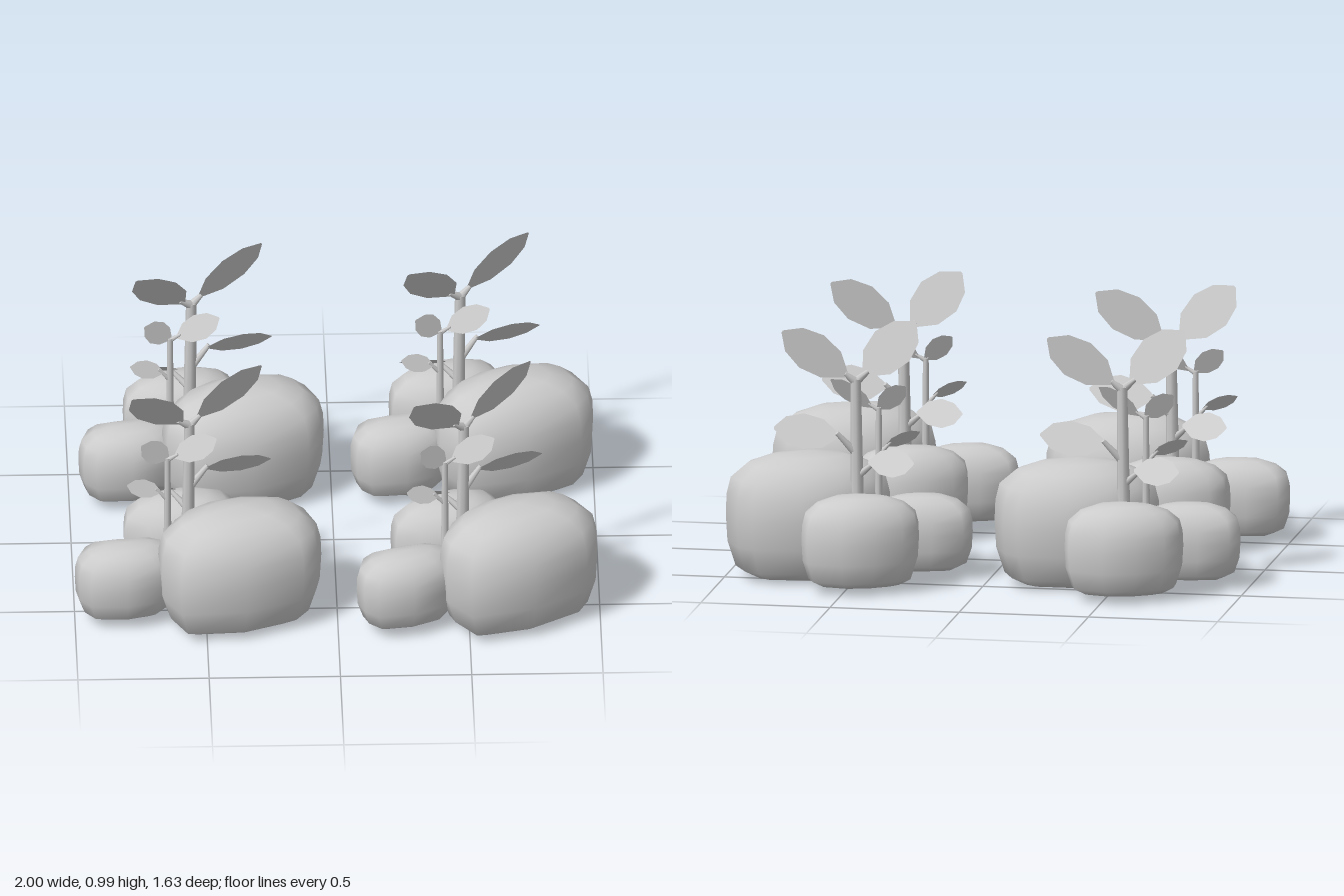
import * as THREE from 'three';

const material = new THREE.MeshStandardMaterial({ color: 0xcccccc });
const leafMaterial = new THREE.MeshStandardMaterial({ color: 0xcccccc, side: THREE.DoubleSide });
const V = (p) => new THREE.Vector3(...p);

function mesh(name, geometry, mat = material) {
  const m = new THREE.Mesh(geometry, mat);
  m.name = name;
  return m;
}

function indexed(positions, index) {
  const g = new THREE.BufferGeometry();
  g.setAttribute('position', new THREE.Float32BufferAttribute(positions, 3));
  g.setIndex(index);
  g.computeVertexNormals();
  return g;
}

// Rounded boulder: a plan outline scaled by a shared profile [height, spread in x, spread in z]
const PROFILE = [[0.015, 0.68, 0.66], [0.08, 0.88, 0.87], [0.28, 0.98, 0.97], [0.5, 1, 1],
  [0.66, 0.99, 0.94], [0.79, 0.94, 0.83], [0.9, 0.74, 0.63], [0.965, 0.45, 0.37]];
function boulder(name, outline, y0, y1) {
  const n = outline.length;
  const xs = outline.map((p) => p[0]), zs = outline.map((p) => p[1]);
  const cx = (Math.min(...xs) + Math.max(...xs)) / 2;
  const cz = (Math.min(...zs) + Math.max(...zs)) / 2;
  const pos = [], idx = [];
  for (const [h, rx, rz] of PROFILE) {
    for (const [x, z] of outline) pos.push(cx + (x - cx) * rx, y0 + (y1 - y0) * h, cz + (z - cz) * rz);
  }
  const bottom = pos.length / 3, top = bottom + 1;
  pos.push(cx, y0, cz, cx, y1, cz);
  const last = (PROFILE.length - 1) * n;
  for (let j = 0; j < n; j++) {
    const k = (j + 1) % n;
    idx.push(bottom, k, j, top, last + j, last + k);
    for (let i = 0; i < last; i += n) idx.push(i + j, i + k, i + n + k, i + j, i + n + k, i + n + j);
  }
  return mesh(name, indexed(pos, idx));
}

// Tapered round stem between two points
function stem(name, from, to, r0, r1) {
  const a = V(from), d = V(to).sub(a);
  const g = new THREE.CylinderGeometry(r1, r0, d.length(), 8);
  g.translate(0, d.length() / 2, 0);
  const m = mesh(name, g);
  m.position.copy(a);
  m.quaternion.setFromUnitVectors(new THREE.Vector3(0, 1, 0), d.normalize());
  return m;
}

// Flat pointed leaf; side is the half-width vector at its broadest place
const LEAF = [[0, 0.08], [0.25, 0.8], [0.55, 1], [0.82, 0.72], [1, 0.06]];
function leaf(name, base, tip, side) {
  const a = V(base), b = V(tip), s = V(side), pos = [], idx = [];
  for (const [t, w] of LEAF) {
    const c = a.clone().lerp(b, t);
    for (const k of [-w, w]) pos.push(...c.clone().addScaledVector(s, k).toArray());
  }
  for (let i = 0; i < LEAF.length - 1; i++) {
    const q = i * 2;
    idx.push(q, q + 1, q + 3, q, q + 3, q + 2);
  }
  return mesh(name, indexed(pos, idx), leafMaterial);
}

// Foot of the main stem, about which each cluster is turned
const FOOT = [-0.57, 0.42];

function createCluster() {
  const g = new THREE.Group();

  // Three boulders around the plant
  g.add(
    boulder('largeRock', [[-0.685, 0.57], [-0.67, 0.64], [-0.6, 0.77], [-0.35, 0.755], [-0.13, 0.663], [-0.075, 0.583],
      [-0.06, 0.5], [-0.11, 0.364], [-0.17, 0.315], [-0.36, 0.305], [-0.52, 0.36], [-0.63, 0.45]], 0, 0.485),
    boulder('mediumRock', [[-0.807, 0.23], [-0.807, 0.33], [-0.72, 0.4], [-0.5, 0.41], [-0.4, 0.36], [-0.365, 0.27],
      [-0.365, 0.22], [-0.39, 0.14], [-0.524, 0.096], [-0.65, 0.118], [-0.754, 0.176]], 0.02, 0.375),
    boulder('smallRock', [[-1, 0.535], [-0.985, 0.605], [-0.94, 0.66], [-0.8, 0.665], [-0.68, 0.63], [-0.6, 0.53],
      [-0.61, 0.44], [-0.69, 0.4], [-0.85, 0.417], [-0.968, 0.444]], 0.03, 0.325),
  );

  // Main stem with twigs
  g.add(
    stem('mainStem', [-0.57, 0.03, 0.42], [-0.56, 0.785, 0.42], 0.028, 0.02),
    stem('topRightTwig', [-0.56, 0.775, 0.42], [-0.52, 0.81, 0.405], 0.018, 0.009),
    stem('topLeftTwig', [-0.56, 0.775, 0.42], [-0.605, 0.81, 0.445], 0.018, 0.009),
    stem('sideTwig', [-0.56, 0.5, 0.42], [-0.49, 0.58, 0.395], 0.017, 0.009),
    stem('backTwig', [-0.57, 0.41, 0.42], [-0.63, 0.465, 0.39], 0.015, 0.008),
  );
  g.add(
    leaf('topRightLeaf', [-0.53, 0.8, 0.405], [-0.285, 0.985, 0.335], [-0.045, 0.055, 0.04]),
    leaf('topLeftLeaf', [-0.59, 0.795, 0.44], [-0.78, 0.98, 0.565], [0.067, 0.052, 0.026]),
    leaf('sideLeaf', [-0.5, 0.57, 0.4], [-0.25, 0.6, 0.385], [0, 0.06, 0.045]),
    leaf('backLeaf', [-0.61, 0.47, 0.385], [-0.785, 0.47, 0.365], [0, 0.045, 0.058]),
  );

  // Thin second stem with small leaves
  g.add(
    stem('thinStem', [-0.645, 0.03, 0.475], [-0.645, 0.665, 0.475], 0.018, 0.011),
    stem('thinRightTwig', [-0.645, 0.655, 0.475], [-0.605, 0.68, 0.475], 0.01, 0.005),
    stem('thinLowTwig', [-0.645, 0.48, 0.475], [-0.69, 0.53, 0.48], 0.01, 0.005),
    leaf('smallRightLeaf', [-0.62, 0.665, 0.475], [-0.46, 0.765, 0.505], [-0.022, 0.034, -0.032]),
    leaf('smallLeftLeaf', [-0.64, 0.66, 0.475], [-0.745, 0.74, 0.51], [0.027, 0.034, -0.02]),
    leaf('smallLowLeaf', [-0.67, 0.515, 0.48], [-0.8, 0.565, 0.51], [0.01, 0.025, -0.025]),
  );
  for (const part of g.children) part.position.add(V([-FOOT[0], 0, -FOOT[1]]));
  return g;
}

export function createModel() {
  const model = new THREE.Group();
  model.name = 'rockPlants';
  // Four copies of the cluster in a loose grid: name, x, z, turn in degrees
  const spots = [['frontRight', ...FOOT, 0], ['frontLeft', 0.474, 0.464, 10],
    ['backRight', -0.541, -0.457, 3], ['backLeft', 0.484, -0.49, 7]];
  for (const [name, x, z, turn] of spots) {
    const c = createCluster();
    c.name = name + 'Cluster';
    c.position.set(x, 0, z);
    c.rotation.y = THREE.MathUtils.degToRad(turn);
    model.add(c);
  }
  return model;
}
